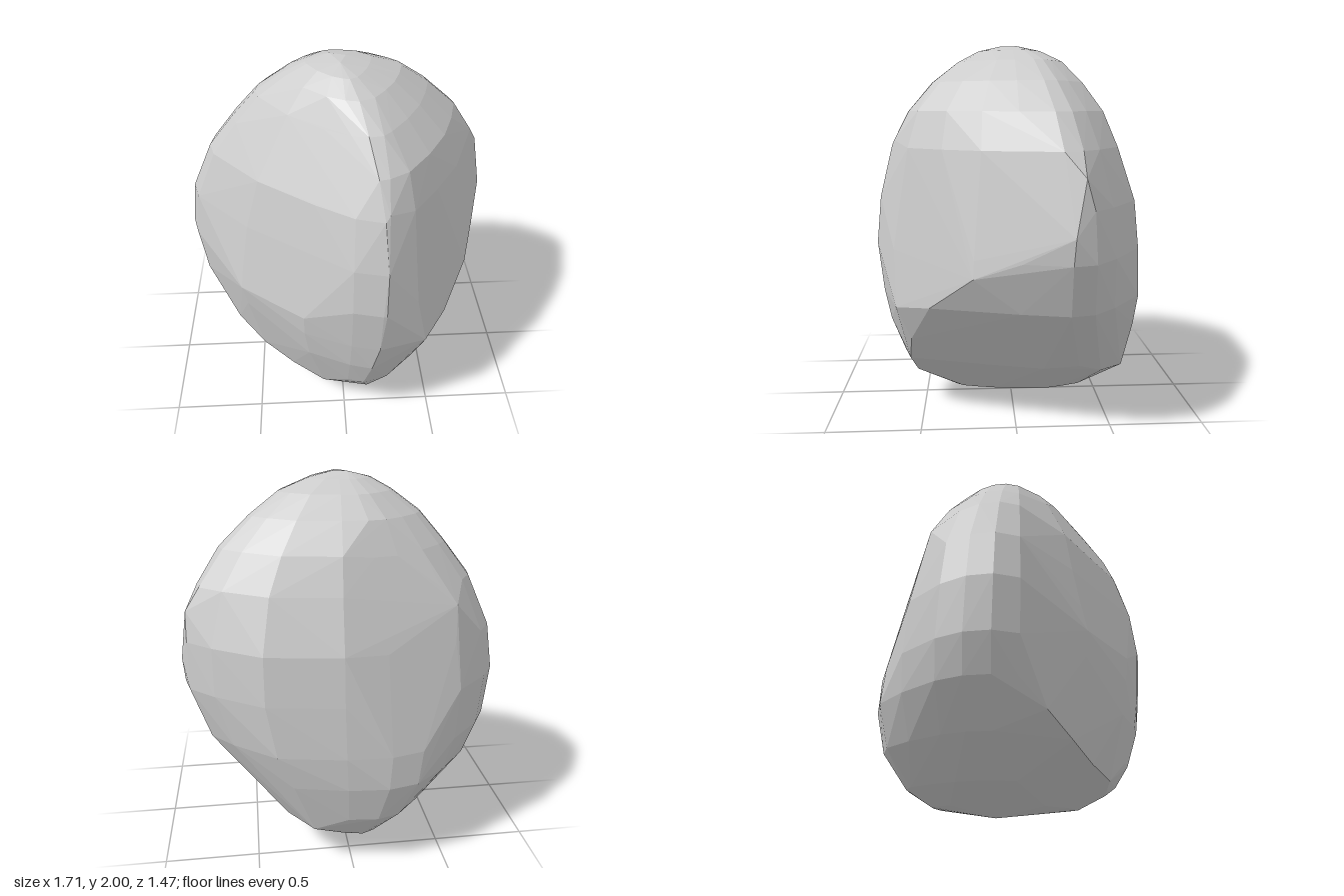
import * as THREE from 'three';
import { ConvexGeometry } from 'three/addons/geometries/ConvexGeometry.js';

// Widest outline [x, z]: a rounded triangle with its blunt corner to the front
const OUTLINE = [
  [0.2, 0.735], [0.03, 0.7], [-0.23, 0.59], [-0.56, 0.33], [-0.82, -0.01],
  [-0.855, -0.14], [-0.83, -0.27], [-0.75, -0.4], [-0.57, -0.57], [-0.38, -0.7],
  [-0.2, -0.735], [0.05, -0.72], [0.44, -0.66], [0.69, -0.49], [0.82, -0.37],
  [0.85, -0.25], [0.79, -0.01], [0.7, 0.22], [0.56, 0.45], [0.4, 0.65],
];

// Reach of the stone at each height: [y, -x, +x, -z, +z]
const LEVELS = [
  [0.05, 0.12, 0.12, 0.44, 0.32], [0.13, 0.29, 0.2, 0.57, 0.47],
  [0.3, 0.54, 0.43, 0.69, 0.61], [0.5, 0.74, 0.59, 0.73, 0.68],
  [0.68, 0.82, 0.74, 0.735, 0.71], [0.95, 0.855, 0.84, 0.71, 0.735],
  [1.2, 0.82, 0.84, 0.68, 0.71], [1.47, 0.7, 0.76, 0.585, 0.645],
  [1.65, 0.56, 0.63, 0.51, 0.56], [1.8, 0.43, 0.47, 0.4, 0.43],
  [1.91, 0.28, 0.32, 0.29, 0.29], [1.97, 0.17, 0.16, 0.17, 0.18],
];

// Large flat faces, each through three points, counter-clockwise from outside
const FACETS = [
  // front right and right
  [[0.7, 0.86, 0.22], [0.56, 1.53, 0.23], [0.45, 0.65, 0.6]],
  [[0.7, 0.86, 0.22], [0.85, 1.1, -0.27], [0.56, 1.53, 0.23]],
  // front left, steep below and leaning back above
  [[-0.56, 0.81, 0.33], [-0.22, 0.81, 0.585], [0, 1.57, 0.55]],
  [[-0.3, 1.53, 0.3], [0.1, 1.6, 0.55], [-0.1, 1.8, 0.28]],
  // back left, lower and upper
  [[0.05, 1.18, -0.68], [-0.2, 0.59, -0.735], [-0.55, 1.38, -0.47]],
  [[0.05, 1.18, -0.68], [-0.55, 1.38, -0.47], [0.12, 1.53, -0.565]],
];

const CORNERS = [
  // underside point and crown
  [-0.01, 0, -0.11], [0, 2, 0.06], [0.03, 2, -0.03], [-0.05, 2, -0.06],
  // front ridge
  [0.18, 0.95, 0.735], [0.2, 1.2, 0.71], [0.2, 1.5, 0.63], [0.2, 1.65, 0.55], [0.18, 1.8, 0.42],
  // lower right edge
  [0.7, 0.86, 0.22], [0.56, 0.68, 0.44], [0.43, 0.65, 0.62], [0.38, 0.46, 0.55],
  [0.24, 0.3, 0.57], [0.13, 0.19, 0.54], [0.44, 0.3, -0.15],
  [0.33, 0.24, -0.48], [0.2, 0.22, -0.62],
  // lower left edge
  [-0.56, 0.81, 0.33], [-0.22, 0.81, 0.585], [-0.62, 0.38, 0.12], [-0.47, 0.28, 0.25],
  [-0.3, 0.21, 0.36], [-0.12, 0.17, 0.47],
  // side and rear corners
  [0.85, 1.08, -0.25], [0.81, 1.35, -0.3], [-0.55, 1.38, -0.47],
];

const vec = (p) => new THREE.Vector3(...p);

export function createModel() {
  const group = new THREE.Group();
  const points = CORNERS.map(vec);
  const planes = FACETS.map((f) => new THREE.Plane().setFromCoplanarPoints(...f.map(vec)));

  // Fit the outline to each level and press it back behind the flat faces
  for (const [y, left, right, back, front] of LEVELS) {
    for (const [x, z] of OUTLINE) {
      const p = new THREE.Vector3(
        x * (x < 0 ? left / 0.855 : right / 0.85),
        y,
        z * (z < 0 ? back : front) / 0.735,
      );
      for (const plane of planes) {
        p.addScaledVector(plane.normal, -Math.max(0, plane.distanceToPoint(p)));
      }
      points.push(p);
    }
  }

  // Faceted convex stone
  const boulder = new THREE.Mesh(
    new ConvexGeometry(points),
    new THREE.MeshStandardMaterial({ color: 0xcccccc, flatShading: true }),
  );
  boulder.name = 'boulder';
  group.add(boulder);
  return group;
}
